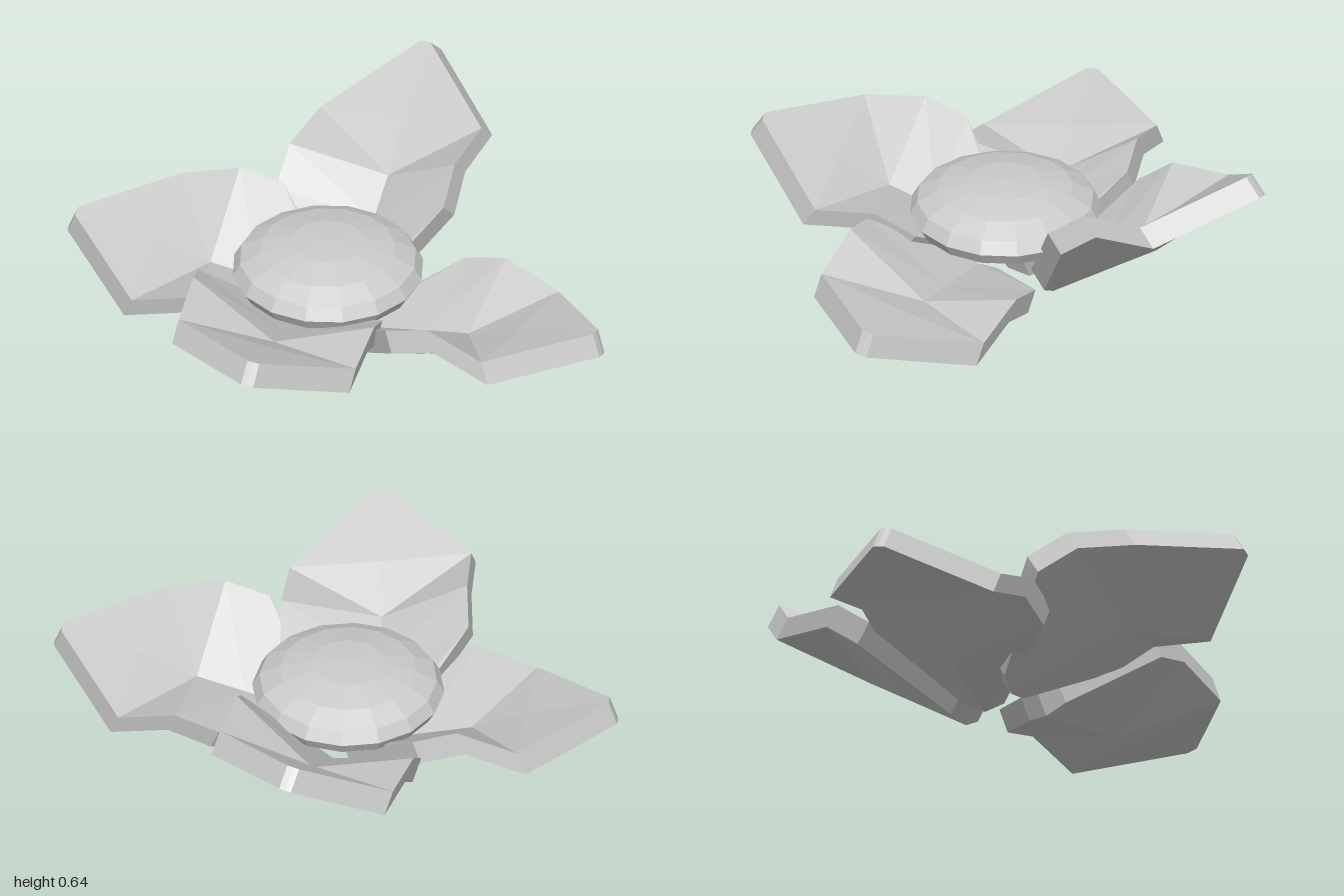
import * as THREE from 'three';

const material = new THREE.MeshStandardMaterial({ color: 0xcccccc, flatShading: true });
const THICKNESS = 0.088;

// Petal cross-sections from base to tip:
// [distance along, half width, edge height, midrib distance, midrib height]
const SECTIONS = [
  [0.0, 0.08, 0.11, -0.02, 0.09],
  [0.305, 0.34, 0.218, 0.27, 0.078],
  [0.468, 0.335, 0.222, 0.45, 0.07],
  [0.66, 0.328, 0.1, 0.66, 0.092],
  [0.958, 0.022, 0.088, 0.96, 0.088],
];

// Thick cupped slab: +x outward, +y up, z across
function petalGeometry() {
  const positions = [];
  const index = [];
  for (const [u, w, h, um, hm] of SECTIONS) {
    const top = [[u, h, -w], [um, hm, 0], [u, h, w]];
    const bottom = top.map(([x, y, z]) => [x + 0.01, y - THICKNESS, z]).reverse();
    for (const p of [...top, ...bottom]) positions.push(...p);
  }
  const n = 6;
  const last = (SECTIONS.length - 1) * n;
  for (let i = 0; i < last; i += n) {
    for (let j = 0; j < n; j++) {
      const k = (j + 1) % n;
      const a = i + j, b = i + k, c = i + n + k, d = i + n + j;
      // Diagonals fan outward from the midrib on both faces
      if (j % 3 === 1) index.push(a, b, c, a, c, d);
      else index.push(a, b, d, b, c, d);
    }
  }
  // End caps, two quads each
  for (const [a, b, c, d] of [[0, 1, 4, 5], [1, 2, 3, 4]]) {
    index.push(a, c, b, a, d, c);
    index.push(last + a, last + b, last + c, last + a, last + c, last + d);
  }
  const geometry = new THREE.BufferGeometry();
  geometry.setAttribute('position', new THREE.Float32BufferAttribute(positions, 3));
  geometry.setIndex(index);
  geometry.computeVertexNormals();
  return geometry;
}

// Base point, plan direction [x, z], upward pitch and roll in degrees
const PETALS = [
  { name: 'leftPetal', base: [0.08, 0.02, 0.068], dir: [0.91, -0.215], pitch: 14, roll: 10 },
  { name: 'backPetal', base: [-0.09, 0.02, -0.185], dir: [-0.22, -0.75], pitch: 35.5, roll: 13 },
  { name: 'rightPetal', base: [-0.135, 0.01, -0.035], dir: [-0.86, 0.36], pitch: 14.5, roll: 10 },
  { name: 'frontPetal', base: [-0.165, 0.01, 0.148], dir: [0.39, 0.79], pitch: 25, roll: 10 },
];

export function createModel() {
  const flower = new THREE.Group();
  flower.name = 'flower';

  // Four petals, each rolled slightly like a pinwheel
  const geometry = petalGeometry();
  for (const { name, base, dir, pitch, roll } of PETALS) {
    const petal = new THREE.Mesh(geometry, material);
    petal.name = name;
    petal.position.set(...base);
    petal.rotation.set(
      THREE.MathUtils.degToRad(-roll),
      Math.atan2(-dir[1], dir[0]),
      THREE.MathUtils.degToRad(pitch),
      'YZX'
    );
    flower.add(petal);
  }

  // Flattened centre disc
  const centre = new THREE.Mesh(new THREE.SphereGeometry(0.342, 16, 8), material);
  centre.name = 'flowerCentre';
  centre.scale.y = 0.35;
  centre.position.set(-0.078, 0.29, 0.032);
  flower.add(centre);

  return flower;
}
